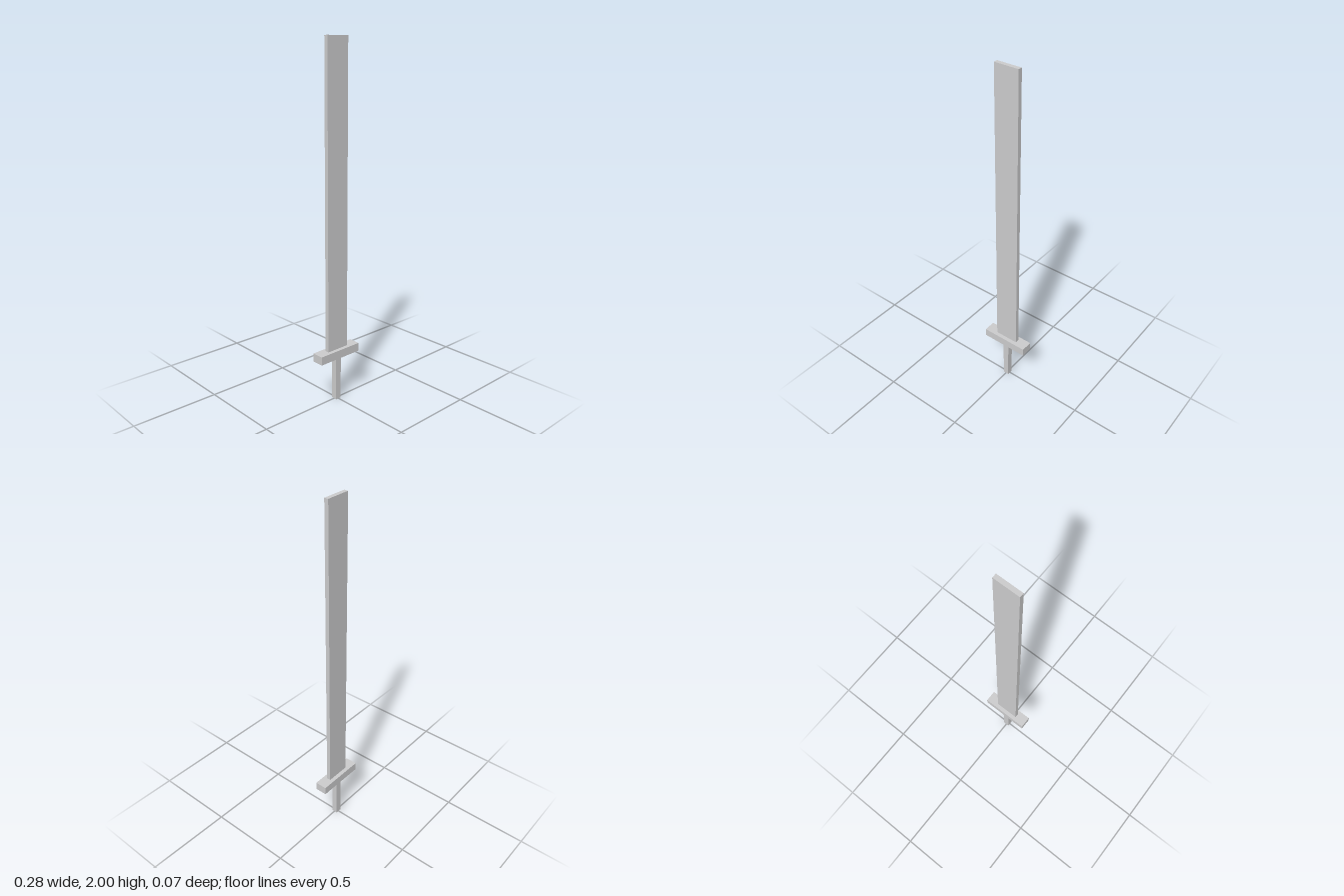
import * as THREE from 'three';

export function createModel() {
  const group = new THREE.Group();
  group.name = 'sword';
  const steel = new THREE.MeshStandardMaterial({ color: 0xcccccd });
  steel.name = 'steel grey';

  // Adds a box resting on height y
  const addBox = (name, w, h, d, y) => {
    const mesh = new THREE.Mesh(new THREE.BoxGeometry(w, h, d), steel);
    mesh.name = name;
    mesh.position.y = y + h / 2;
    group.add(mesh);
  };

  addBox('handle', 0.035, 0.258, 0.035, 0);
  addBox('guard', 0.281, 0.048, 0.07, 0.258);
  addBox('blade', 0.141, 1.694, 0.0235, 0.306);

  return group;
}
